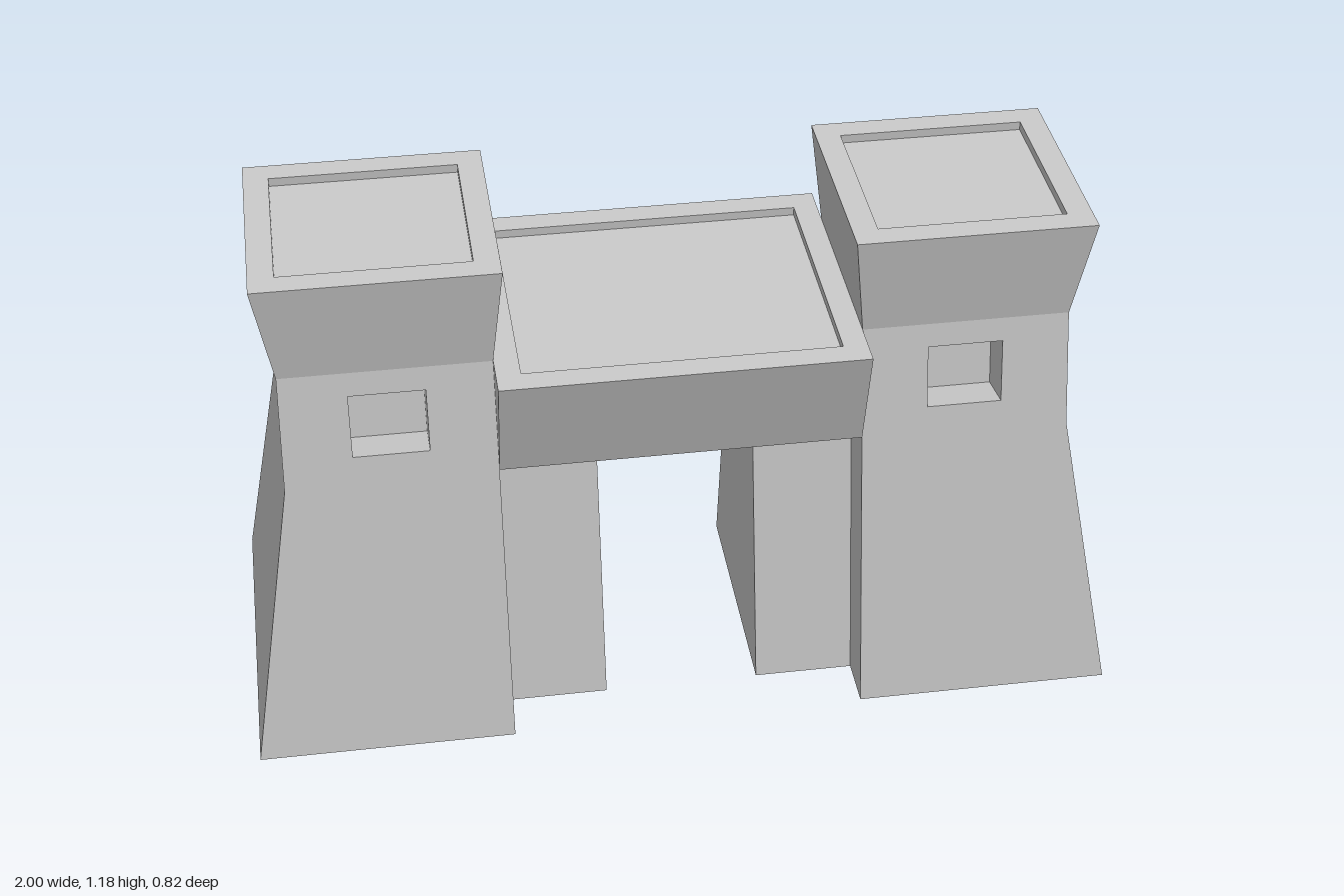
import * as THREE from 'three';

const material = new THREE.MeshStandardMaterial({ color: 0xcccccc, flatShading: true });

// Collects flat polygons into one mesh; sx / sz mirror the points and keep the winding outward.
function makeMesh(name, polys, sx = 1, sz = 1) {
  const pos = [];
  for (const poly of polys) {
    const p = poly.map(([x, y, z]) => [x * sx, y, z * sz]);
    if (sx * sz < 0) p.reverse();
    for (let i = 1; i < p.length - 1; i++) pos.push(...p[0], ...p[i], ...p[i + 1]);
  }
  const geo = new THREE.BufferGeometry();
  geo.setAttribute('position', new THREE.Float32BufferAttribute(pos, 3));
  geo.computeVertexNormals();
  const mesh = new THREE.Mesh(geo, material);
  mesh.name = name;
  return mesh;
}

// Joins rectangular rings [x0, x1, y, halfDepth] from bottom to top.
function loft(rings, capBottom = true, capTop = true) {
  const loops = rings.map(([a, b, y, z]) => [[a, y, z], [b, y, z], [b, y, -z], [a, y, -z]]);
  const polys = [];
  for (let k = 0; k < loops.length - 1; k++) {
    for (let i = 0; i < 4; i++) {
      const j = (i + 1) % 4;
      polys.push([loops[k][i], loops[k][j], loops[k + 1][j], loops[k + 1][i]]);
    }
  }
  if (capBottom) polys.push([...loops[0]].reverse());
  if (capTop) polys.push(loops[loops.length - 1]);
  return polys;
}

// Tower dimensions: inner side is upright, outer side bends at KNEE.
const INNER = 0.41, KNEE = 0.67, NECK = 0.94;
const wallZ = (y) => 0.41 - (0.175 / NECK) * y;
const onWall = (x, y) => [x, y, wallZ(y)];

// Sloping wall with a window opening and the recess behind it.
function windowWall() {
  const outline = [[INNER, 0], [1, 0], [0.885, KNEE], [0.88, NECK], [INNER, NECK]];
  const hole = [[0.56, 0.74], [0.73, 0.74], [0.73, 0.885], [0.56, 0.885]];
  const toVec = (list) => list.map(([x, y]) => new THREE.Vector2(x, y));
  const all = [...outline, ...hole].map(([x, y]) => onWall(x, y));
  const polys = THREE.ShapeUtils.triangulateShape(toVec(outline), [toVec(hole)])
    .map((t) => {
      const [a, b, c] = t.map((i) => all[i]);
      const area = (b[0] - a[0]) * (c[1] - a[1]) - (c[0] - a[0]) * (b[1] - a[1]);
      return area > 0 ? [a, b, c] : [a, c, b];
    });
  // Recess runs square to the wall
  const front = hole.map(([x, y]) => onWall(x, y));
  const back = front.map(([x, y, z]) => [x, y - 0.019, z - 0.1]);
  for (let i = 0; i < 4; i++) {
    const j = (i + 1) % 4;
    polys.push([front[i], front[j], back[j], back[i]]);
  }
  polys.push(back);
  return polys;
}

function makeTower(side) {
  const tower = new THREE.Group();
  tower.name = side > 0 ? 'leftTower' : 'rightTower';

  tower.add(makeMesh('frontWall', windowWall(), side, 1));
  tower.add(makeMesh('backWall', windowWall(), side, -1));

  // Outer, inner and bottom faces of the shaft
  const strip = (x0, y0, x1, y1) => [
    [x0, y0, wallZ(y0)], [x0, y0, -wallZ(y0)], [x1, y1, -wallZ(y1)], [x1, y1, wallZ(y1)],
  ];
  tower.add(makeMesh('shaftSides', [
    strip(1, 0, 0.885, KNEE),
    strip(0.885, KNEE, 0.88, NECK),
    strip(INNER, 0, INNER, NECK).reverse(),
    strip(INNER, 0, 1, 0),
  ], side));

  // Flared crown with a sunken roof
  tower.add(makeMesh('crown', loft([
    [INNER, 0.88, NECK, 0.235],
    [0.383, 0.92, 1.18, 0.26],
    [0.44, 0.863, 1.18, 0.203],
    [0.44, 0.863, 1.16, 0.203],
  ], false), side));

  // Pier under the bridge
  tower.add(makeMesh('pier', loft([
    [0.18, INNER, 0, 0.29],
    [0.18, INNER, 0.68, 0.165],
  ]), side));
  return tower;
}

export function createModel() {
  const model = new THREE.Group();
  model.name = 'gateway';
  model.add(makeTower(1), makeTower(-1));

  // Bridge flaring upward, with a sunken deck
  model.add(makeMesh('bridge', loft([
    [-INNER, INNER, 0.68, 0.285],
    [-INNER, INNER, 0.94, 0.35],
    [-0.355, 0.355, 0.94, 0.292],
    [-0.355, 0.355, 0.92, 0.292],
  ])));
  return model;
}
